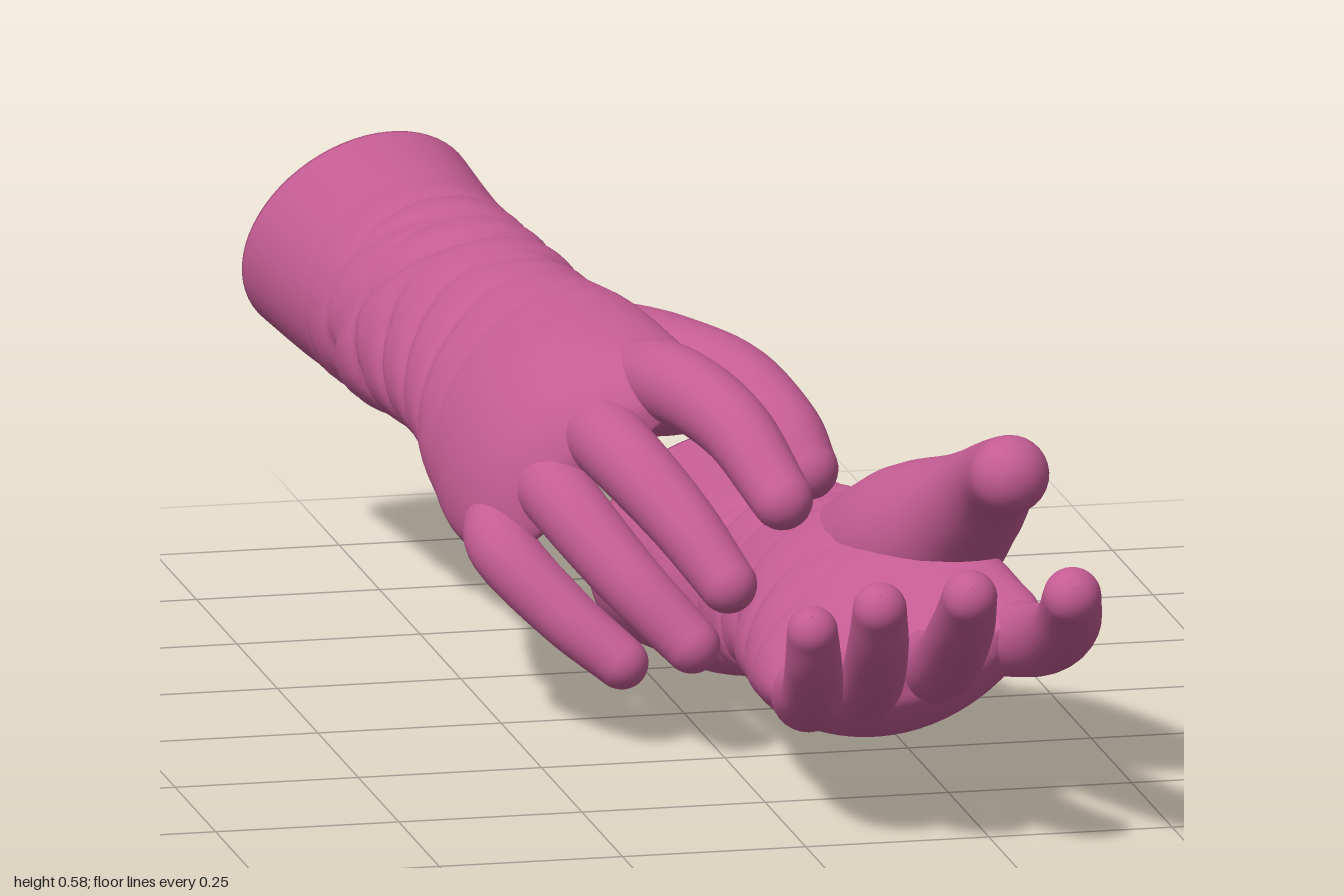
import * as THREE from 'three';

const SIDES = 64;

// Joins rings of points into one smooth skin; the rings wrap round without a seam
function skin(rings) {
  const n = rings[0].length, index = [];
  for (let i = 0; i < rings.length - 1; i++) {
    for (let j = 0; j < n; j++) {
      const a = i * n + j, b = i * n + (j + 1) % n;
      index.push(a, b, b + n, a, b + n, a + n);
    }
  }
  const geo = new THREE.BufferGeometry().setFromPoints(rings.flat());
  geo.setIndex(index);
  geo.computeVertexNormals();
  return geo;
}

const smoothCurve = pts =>
  new THREE.CatmullRomCurve3(pts.map(p => new THREE.Vector3(...p)), false, 'catmullrom', 0.5);

// Slanted cloth folds, stronger on some sides than on others
function folds(z, angle) {
  const crease = phase => Math.pow(1 - Math.abs(Math.sin(phase)), 2);
  return -0.014 * crease(z * 34 + 1.7 * Math.cos(angle - 0.6)) * (0.55 + 0.45 * Math.sin(angle * 2 + z * 9))
    - 0.012 * crease(z * 27 - 2.2 * Math.sin(angle + 0.8)) * (0.5 + 0.5 * Math.cos(angle + z * 14))
    + 0.004;
}

// Sleeve and palm from sections: z, x, y, half width, half thickness, tilt, slant across, slant through, folds
function sleeveGeometry(sections, cup) {
  const place = smoothCurve(sections.map(s => [s[1], s[2], s[0]]));
  const size = smoothCurve(sections.map(s => [s[3], s[4], THREE.MathUtils.degToRad(s[5])]));
  const extra = smoothCurve(sections.map(s => [s[6], s[7], s[8]]));
  const ring = (t, inset) => {
    const c = place.getPoint(t), s = size.getPoint(t), e = extra.getPoint(t);
    const co = Math.cos(s.z), si = Math.sin(s.z);
    // the palm is hollowed; the sleeve is a plain oval
    const bend = cup * THREE.MathUtils.smoothstep(t, 0.5, 0.75);
    return Array.from({ length: SIDES }, (_, j) => {
      const a = j / SIDES * Math.PI * 2;
      const d = inset + Math.max(0, e.z) * folds(c.z, a);
      const u = Math.max(0.002, s.x + d) * Math.cos(a);
      const flat = Math.max(0.002, s.y + d) * Math.sin(a);
      const v = flat + bend * (u * u / Math.max(s.x, 0.05) - s.x * 0.35);
      return new THREE.Vector3(c.x + u * co - v * si, c.y + u * si + v * co, c.z + e.x * u + e.y * flat);
    });
  };
  const rings = [];
  for (let i = 8; i >= 0; i--) rings.push(ring(i / 80, -0.008)); // turned-in lining
  for (let i = 0; i <= 180; i++) rings.push(ring(i / 180, 0));
  return skin(rings);
}

// Finger: tapering tube with a round tip; each point is x, y, z, radius
function fingerGeometry(points) {
  const path = smoothCurve(points);
  const radius = smoothCurve(points.map(p => [p[3], 0, 0]));
  const up = new THREE.Vector3(0, 1, 0), rings = [];
  const addRing = (t, capAngle) => {
    const tangent = path.getTangent(t), r = radius.getPoint(t).x;
    const across = new THREE.Vector3().crossVectors(up, tangent).normalize();
    const over = new THREE.Vector3().crossVectors(tangent, across);
    const c = path.getPoint(t).addScaledVector(tangent, r * Math.sin(capAngle));
    const w = Math.max(r * Math.cos(capAngle), 0.0005);
    rings.push(Array.from({ length: 28 }, (_, j) => {
      const a = j / 28 * Math.PI * 2;
      return c.clone().addScaledVector(across, w * Math.cos(a)).addScaledVector(over, w * Math.sin(a));
    }));
  };
  for (let i = 0; i <= 32; i++) addRing(i / 32, 0);
  for (let i = 1; i <= 9; i++) addRing(1, i / 9 * Math.PI / 2);
  return skin(rings);
}

function buildGlove(name, spec, material) {
  const glove = new THREE.Group();
  glove.name = name;
  const add = (part, geo) => {
    const mesh = new THREE.Mesh(geo, material);
    mesh.name = part;
    glove.add(mesh);
  };
  add('sleeveAndPalm', sleeveGeometry(spec.sections, spec.cup));
  for (const [part, points] of Object.entries(spec.fingers)) add(part, fingerGeometry(points));
  return glove;
}

// Palm-down glove, further back
const upperGlove = {
  cup: -0.22,
  sections: [
    [-0.97, -0.23, 0.435, 0.171, 0.131, 34, 0.07, 0.19, 0],
    [-0.85, -0.22, 0.425, 0.165, 0.13, 34, 0.04, 0.1, 0],
    [-0.74, -0.21, 0.418, 0.16, 0.128, 34, 0, 0, 0.2],
    [-0.6, -0.2, 0.416, 0.158, 0.118, 35, 0, 0, 1],
    [-0.45, -0.18, 0.415, 0.152, 0.112, 36, 0, 0, 1],
    [-0.32, -0.17, 0.41, 0.155, 0.105, 38, 0, 0, 0.6],
    [-0.2, -0.165, 0.4, 0.18, 0.095, 42, 0, 0, 0.15],
    [-0.08, -0.165, 0.39, 0.195, 0.08, 44, 0.05, 0, 0],
    [0.03, -0.15, 0.385, 0.185, 0.06, 44, 0.12, 0, 0],
    [0.085, -0.135, 0.38, 0.13, 0.03, 44, 0.15, 0, 0],
    [0.095, -0.13, 0.38, 0.01, 0.004, 44, 0.15, 0, 0],
  ],
  fingers: {
    thumb: [[-0.08, 0.42, -0.36, 0.07], [0, 0.42, -0.2, 0.085], [0.08, 0.43, -0.08, 0.06],
      [0.13, 0.39, 0.02, 0.05], [0.152, 0.345, 0.07, 0.042]],
    indexFinger: [[-0.075, 0.45, -0.06, 0.055], [-0.035, 0.475, 0.08, 0.054], [0.02, 0.445, 0.21, 0.049], [0.062, 0.37, 0.325, 0.041]],
    middleFinger: [[-0.13, 0.4, -0.06, 0.055], [-0.12, 0.4, 0.1, 0.052], [-0.06, 0.33, 0.23, 0.046], [-0.01, 0.255, 0.315, 0.039]],
    ringFinger: [[-0.18, 0.33, -0.06, 0.055], [-0.185, 0.325, 0.07, 0.05], [-0.12, 0.24, 0.19, 0.044], [-0.047, 0.16, 0.26, 0.038]],
    littleFinger: [[-0.23, 0.28, -0.07, 0.05], [-0.255, 0.25, 0.03, 0.046], [-0.19, 0.175, 0.11, 0.041], [-0.122, 0.117, 0.165, 0.036]],
  },
};

// Palm-up glove, in front
const lowerGlove = {
  cup: 0.2,
  sections: [
    [-0.36, 0.11, 0.145, 0.171, 0.131, 34, -0.02, -0.15, 0],
    [-0.25, 0.118, 0.15, 0.163, 0.128, 34, -0.01, -0.08, 0],
    [-0.12, 0.13, 0.158, 0.158, 0.125, 35, 0, 0, 0.2],
    [0, 0.15, 0.175, 0.15, 0.112, 38, 0, 0, 1],
    [0.1, 0.16, 0.19, 0.152, 0.105, 36, 0, 0, 1],
    [0.2, 0.17, 0.203, 0.165, 0.105, 33, 0, 0, 0.6],
    [0.35, 0.18, 0.2, 0.182, 0.1, 27, 0, 0, 0.2],
    [0.5, 0.185, 0.19, 0.188, 0.085, 20, 0, 0, 0],
    [0.6, 0.188, 0.195, 0.18, 0.06, 18, 0, 0, 0],
    [0.655, 0.185, 0.205, 0.14, 0.03, 18, 0, 0, 0],
    [0.665, 0.185, 0.207, 0.01, 0.004, 18, 0, 0, 0],
  ],
  fingers: {
    thumb: [[0.17, 0.2, 0.08, 0.075], [0.25, 0.285, 0.27, 0.108], [0.295, 0.37, 0.42, 0.076],
      [0.305, 0.435, 0.54, 0.056], [0.297, 0.475, 0.665, 0.053]],
    indexFinger: [[0.3, 0.215, 0.5, 0.055], [0.335, 0.25, 0.68, 0.049], [0.34, 0.305, 0.82, 0.045], [0.325, 0.37, 0.925, 0.039]],
    middleFinger: [[0.2, 0.18, 0.54, 0.055], [0.2, 0.235, 0.71, 0.047], [0.187, 0.32, 0.87, 0.043], [0.177, 0.385, 0.962, 0.037]],
    ringFinger: [[0.115, 0.165, 0.54, 0.053], [0.1, 0.21, 0.7, 0.044], [0.081, 0.29, 0.83, 0.041], [0.068, 0.36, 0.9, 0.036]],
    littleFinger: [[0.05, 0.155, 0.54, 0.05], [0.025, 0.195, 0.68, 0.042], [0.004, 0.26, 0.78, 0.038], [-0.008, 0.316, 0.828, 0.034]],
  },
};

export function createModel() {
  const pinkCloth = new THREE.MeshStandardMaterial({ color: 0xc45c93, side: THREE.DoubleSide });
  pinkCloth.name = 'pinkCloth';
  const model = new THREE.Group();
  model.name = 'gloves';
  model.add(buildGlove('upperGlove', upperGlove, pinkCloth));
  model.add(buildGlove('lowerGlove', lowerGlove, pinkCloth));
  return model;
}
